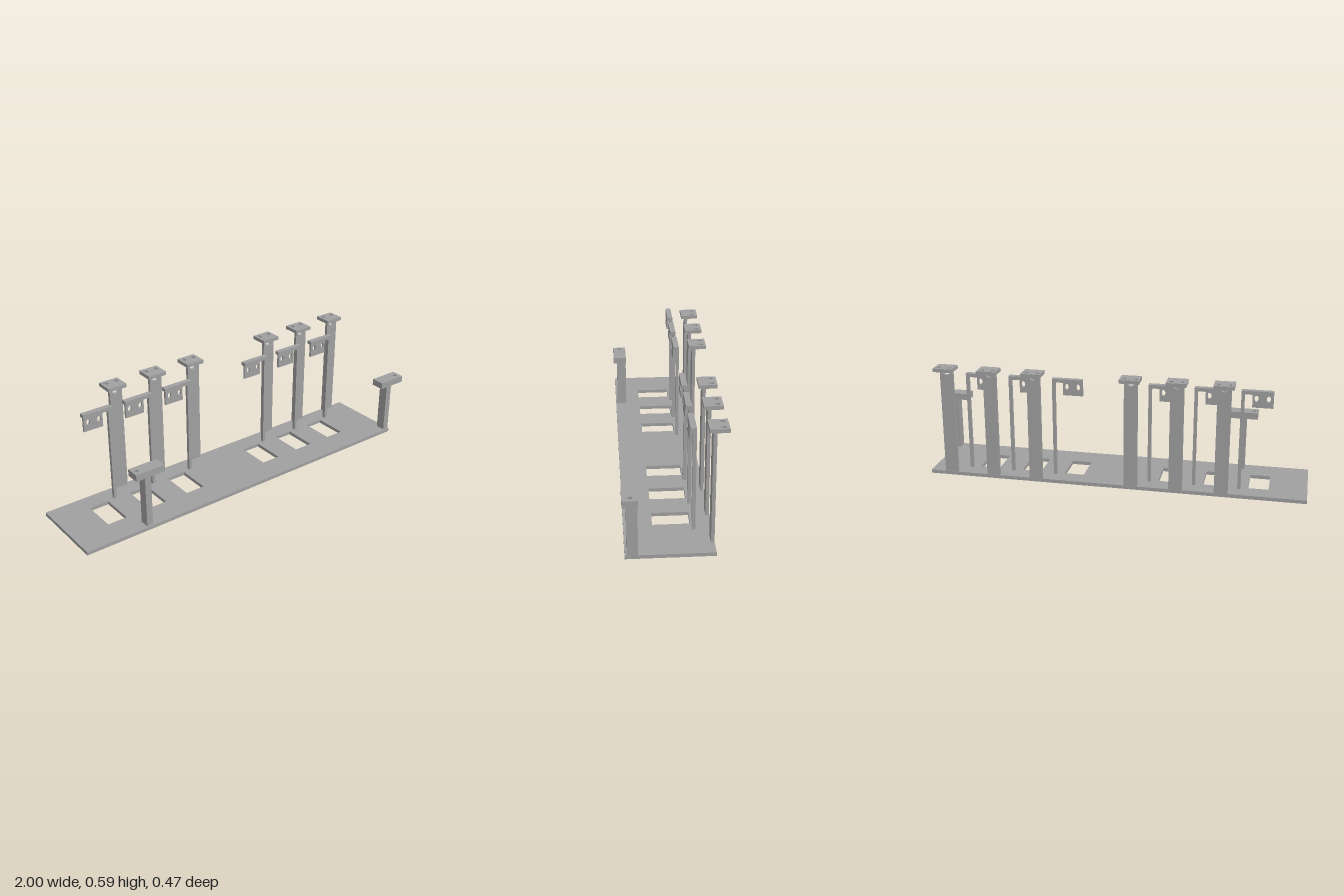
import * as THREE from 'three';

const grey = new THREE.MeshStandardMaterial({ color: 0xa0a0a0 });
grey.name = 'grey';

function add(parent, name, geometry) {
  const mesh = new THREE.Mesh(geometry, grey);
  mesh.name = name;
  parent.add(mesh);
}

// Box given by its limits on each axis
function box(x0, x1, y0, y1, z0, z1) {
  return new THREE.BoxGeometry(x1 - x0, y1 - y0, z1 - z0)
    .translate((x0 + x1) / 2, (y0 + y1) / 2, (z0 + z1) / 2);
}

function rect(Type, x0, x1, y0, y1) {
  return new Type([[x0, y0], [x1, y0], [x1, y1], [x0, y1]].map(p => new THREE.Vector2(...p)));
}

function oval(x, y, rx, ry) {
  return new THREE.Path().absellipse(x, y, rx, ry, 0, Math.PI * 2);
}

function extrude(shape, depth) {
  return new THREE.ExtrudeGeometry(shape, { depth, bevelEnabled: false, curveSegments: 6 });
}

// Horizontal plate: outline in x and z, with holes drawn in (x, -z)
function flatPlate(x0, x1, z0, z1, y0, y1, holes) {
  const shape = rect(THREE.Shape, x0, x1, -z1, -z0);
  shape.holes.push(...holes);
  return extrude(shape, y1 - y0).rotateX(-Math.PI / 2).translate(0, y0, 0);
}

export function createModel() {
  const model = new THREE.Group();
  model.name = 'bracketStand';

  const starts = [];
  for (const first of [-0.81, 0.137]) {
    for (let i = 0; i < 3; i++) starts.push(first + i * 0.2275);
  }

  // Base with six rectangular windows
  const windows = starts.map(x => rect(THREE.Path, x, x + 0.102, -0.09, 0.085));
  add(model, 'base', flatPlate(-1, 0.935, -0.18, 0.224, 0, 0.018, windows));

  starts.forEach(x => {
    // Thin post with an arm and a hanging plate with two slots
    const hanger = new THREE.Group();
    hanger.name = 'hangingBracket';
    model.add(hanger);
    add(hanger, 'thinPost', box(x + 0.139, x + 0.155, 0.018, 0.516, -0.104, -0.087));
    add(hanger, 'arm', box(x, x + 0.155, 0.515, 0.533, -0.104, -0.076));
    const plate = rect(THREE.Shape, x, x + 0.102, 0.445, 0.515);
    plate.holes.push(oval(x + 0.024, 0.49, 0.01, 0.016), oval(x + 0.083, 0.49, 0.01, 0.016));
    add(hanger, 'slottedPlate', extrude(plate, 0.011).translate(0, 0, -0.087));

    // Tall flat post, notched below its drilled top plate
    const tall = new THREE.Group();
    tall.name = 'tallStand';
    tall.position.x = x + 0.23;
    model.add(tall);
    const post = new THREE.Shape();
    post.moveTo(-0.034, 0.018);
    post.lineTo(0.034, 0.018);
    post.lineTo(0.034, 0.57);
    post.lineTo(0.02, 0.57);
    post.absellipse(0, 0.564, 0.02, 0.022, 0, -Math.PI, true);
    post.lineTo(-0.02, 0.57);
    post.lineTo(-0.034, 0.57);
    add(tall, 'tallPost', extrude(post, 0.016).translate(0, 0, -0.179));
    const holes = [-0.028, 0.028].map(hx => oval(hx, 0.205, 0.01, 0.013));
    add(tall, 'topPlate', flatPlate(-0.05, 0.05, -0.232, -0.144, 0.57, 0.588, holes));
  });

  // Two short front stands; the drilled cap has a square pocket below
  for (const [cap, post, hole] of [[-0.727, -0.67, -0.705], [0.842, 0.902, 0.97]]) {
    const stand = new THREE.Group();
    stand.name = 'shortStand';
    model.add(stand);
    add(stand, 'shortPost', box(post, post + 0.033, 0.018, 0.296, 0.165, 0.215));
    const pocket = rect(THREE.Path, hole - 0.018, hole + 0.018, -0.218, -0.182);
    add(stand, 'capLower', flatPlate(cap, cap + 0.156, 0.165, 0.234, 0.296, 0.314, [pocket]));
    add(stand, 'capUpper', flatPlate(cap, cap + 0.156, 0.165, 0.234, 0.314, 0.33, [oval(hole, -0.2, 0.011, 0.011)]));
  }
  return model;
}
